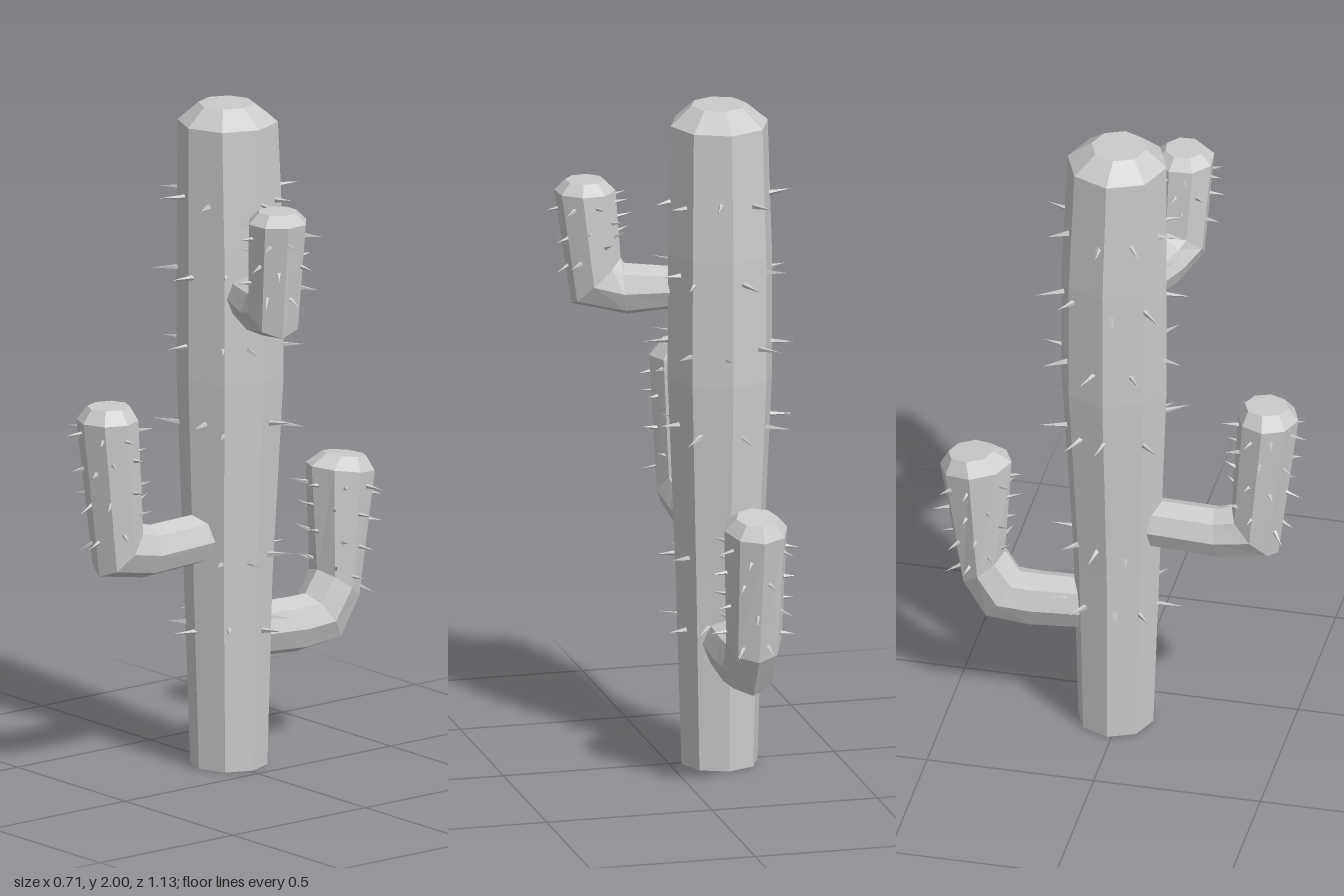
import * as THREE from 'three';
import { mergeGeometries } from 'three/addons/utils/BufferGeometryUtils.js';

const SIDES = 8;
const UP = new THREE.Vector3(0, 1, 0);
const material = new THREE.MeshStandardMaterial({ color: 0xcccccc, flatShading: true });

let seed = 7;
function random() {
  seed = (seed * 16807) % 2147483647;
  return seed / 2147483647;
}
const jitter = (amount) => (random() - 0.5) * 2 * amount;

// A limb bends in the vertical plane through origin and angle.
// Each ring: [outer distance, outer y, inner distance, inner y, half width].
function makeLimb(origin, angle, rings) {
  const out = new THREE.Vector3(Math.cos(angle), 0, Math.sin(angle));
  const side = UP.clone().cross(out);
  return rings.map(([ou, oy, iu, iy, width]) => {
    const outer = origin.clone().addScaledVector(out, ou).addScaledVector(UP, oy);
    const inner = origin.clone().addScaledVector(out, iu).addScaledVector(UP, iy);
    return {
      center: outer.clone().add(inner).multiplyScalar(0.5),
      half: outer.clone().sub(inner).multiplyScalar(0.5),
      side: side.clone().multiplyScalar(width),
    };
  });
}

const ringPoint = (ring, a) => ring.center.clone()
  .addScaledVector(ring.half, Math.cos(a))
  .addScaledVector(ring.side, Math.sin(a));

// Skin the eight-sided rings and close both ends
function limbGeometry(rings) {
  const positions = [];
  const tri = (...points) => points.forEach((p) => positions.push(p.x, p.y, p.z));
  const first = rings[0];
  const last = rings[rings.length - 1];
  for (let k = 0; k < SIDES; k++) {
    const a = (k / SIDES) * Math.PI * 2;
    const b = ((k + 1) / SIDES) * Math.PI * 2;
    for (let i = 0; i < rings.length - 1; i++) {
      const p = ringPoint(rings[i], a), q = ringPoint(rings[i], b);
      const r = ringPoint(rings[i + 1], b), s = ringPoint(rings[i + 1], a);
      tri(p, q, r);
      tri(p, r, s);
    }
    tri(first.center, ringPoint(first, b), ringPoint(first, a));
    tri(last.center, ringPoint(last, a), ringPoint(last, b));
  }
  const geometry = new THREE.BufferGeometry();
  geometry.setAttribute('position', new THREE.Float32BufferAttribute(positions, 3));
  geometry.computeVertexNormals();
  return geometry;
}

// One thorn standing out of the skin between rings i and i + 1
function thorn(rings, i, t, a, length, radius) {
  const center = rings[i].center.clone().lerp(rings[i + 1].center, t);
  const skin = ringPoint(rings[i], a).lerp(ringPoint(rings[i + 1], a), t);
  const direction = skin.clone().sub(center).normalize();
  skin.lerp(center, 0.08);
  direction.add(new THREE.Vector3(jitter(0.2), jitter(0.12), jitter(0.2))).normalize();
  const cone = new THREE.ConeGeometry(radius, length, 4);
  cone.translate(0, length / 2, 0);
  cone.applyQuaternion(new THREE.Quaternion().setFromUnitVectors(UP, direction));
  return cone.translate(skin.x, skin.y, skin.z);
}

// Rows of thorns: each row is [ring index, fraction to the next ring]
function thornGeometry(rings, rows, count, length, radius) {
  const cones = [];
  rows.forEach(([i, t], row) => {
    for (let k = 0; k < count; k++) {
      const a = ((k + 0.5 * (row % 2) + 0.25) / count) * Math.PI * 2 + jitter(0.2);
      const size = length * (0.8 + 0.5 * random());
      cones.push(thorn(rings, i, t + jitter(0.03), a, size, radius));
    }
  });
  return mergeGeometries(cones);
}

export function createModel() {
  const group = new THREE.Group();
  seed = 7;

  function addLimb(name, rings, rows, count, length, radius) {
    const limb = new THREE.Group();
    limb.name = name;
    const body = new THREE.Mesh(limbGeometry(rings), material);
    body.name = name + 'Body';
    const thorns = new THREE.Mesh(thornGeometry(rings, rows, count, length, radius), material);
    thorns.name = name + 'Thorns';
    limb.add(body, thorns);
    group.add(limb);
  }

  const base = new THREE.Vector3(-0.15, 0, 0);
  const front = Math.PI / 2;

  // Trunk: swells in the middle and ends in a bevelled cap
  const trunk = makeLimb(base, front, [
    [0.10, 0, -0.125, 0, 0.115],
    [0.12, 0.58, -0.14, 0.58, 0.132],
    [0.14, 1.18, -0.175, 1.18, 0.158],
    [0.14, 1.56, -0.175, 1.56, 0.157],
    [0.14, 1.945, -0.157, 1.945, 0.147],
    [0.08, 2.0, -0.085, 2.0, 0.082],
  ]);
  addLimb('trunk', trunk,
    [[0, 0.73], [1, 0.1], [1, 0.77], [2, 0.25], [2, 0.84], [3, 0.42]], 8, 0.07, 0.009);

  // Front arm
  const frontArm = makeLimb(base, front, [
    [0.07, 0.625, 0.07, 0.775, 0.07],
    [0.31, 0.615, 0.285, 0.77, 0.073],
    [0.475, 0.645, 0.335, 0.785, 0.08],
    [0.535, 1.115, 0.355, 1.115, 0.093],
    [0.505, 1.155, 0.375, 1.155, 0.06],
  ]);
  addLimb('frontArm', frontArm, [[2, 0.2], [2, 0.45], [2, 0.7], [2, 0.9]], 7, 0.045, 0.007);

  // Back arm, the lowest, with a rounder elbow
  const backArm = makeLimb(base, -front, [
    [0.08, 0.31, 0.08, 0.47, 0.075],
    [0.265, 0.295, 0.24, 0.465, 0.077],
    [0.405, 0.31, 0.30, 0.465, 0.08],
    [0.475, 0.43, 0.345, 0.53, 0.084],
    [0.54, 0.81, 0.325, 0.845, 0.095],
    [0.515, 0.855, 0.38, 0.875, 0.062],
  ]);
  addLimb('backArm', backArm, [[3, 0.1], [3, 0.38], [3, 0.62], [3, 0.85]], 7, 0.045, 0.007);

  // Left arm, the highest, turned a little to the front
  const leftArm = makeLimb(new THREE.Vector3(-0.15, 0, -0.014), 0.315, [
    [0.10, 1.385, 0.10, 1.505, 0.058],
    [0.27, 1.36, 0.28, 1.515, 0.07],
    [0.435, 1.39, 0.29, 1.53, 0.08],
    [0.485, 1.735, 0.305, 1.735, 0.09],
    [0.453, 1.767, 0.337, 1.767, 0.058],
  ]);
  addLimb('leftArm', leftArm, [[2, 0.35], [2, 0.6], [2, 0.85]], 7, 0.045, 0.007);

  return group;
}
